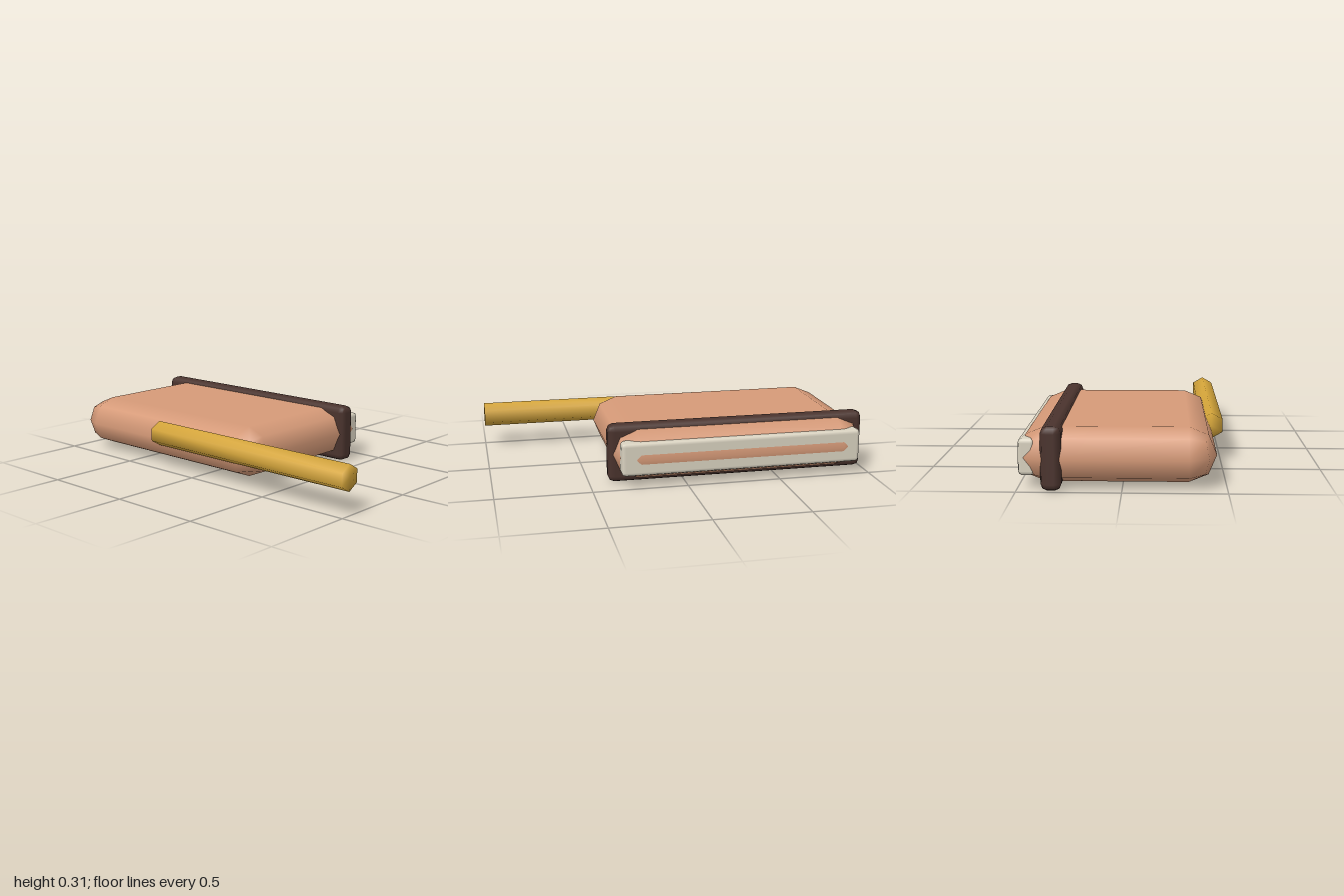
import * as THREE from 'three';
import { RoundedBoxGeometry } from 'three/addons/geometries/RoundedBoxGeometry.js';
import { mergeVertices } from 'three/addons/utils/BufferGeometryUtils.js';

function material(name, color) {
  const m = new THREE.MeshStandardMaterial({ color });
  m.name = name;
  return m;
}

export function createModel() {
  const group = new THREE.Group();
  const tan = material('tan', 0xd69a78);
  const brown = material('dark brown', 0x4a332d);
  const cream = material('cream', 0xd9d2c0);
  const gold = material('gold', 0xd6a63a);

  // Box with chamfer-like rounding, given by its min and max corners
  function roundedPart(name, mat, min, max, radius) {
    const size = max.map((v, i) => v - min[i]);
    const mesh = new THREE.Mesh(new RoundedBoxGeometry(...size, 1, radius), mat);
    mesh.position.set(...max.map((v, i) => (v + min[i]) / 2));
    mesh.name = name;
    group.add(mesh);
  }

  // Thick slab, fully rounded along its sides
  roundedPart('body', tan, [-0.451, 0.019, -0.987], [0.506, 0.289, 0.379], 0.134);
  // Strap around the slab
  roundedPart('strap', brown, [0.285, 0, -1], [0.385, 0.31, 0.4], 0.034);
  // Pale edge piece, the body's ridge showing through its face
  roundedPart('edgePlate', cream, [0.412, 0.064, -0.947], [0.496, 0.244, 0.347], 0.022);

  // Hexagonal rod with soft shading over the ends
  let rodGeometry = new THREE.CylinderGeometry(0.068, 0.068, 1.3, 6);
  rodGeometry.deleteAttribute('uv');
  rodGeometry.deleteAttribute('normal');
  rodGeometry = mergeVertices(rodGeometry);
  rodGeometry.computeVertexNormals();
  const rod = new THREE.Mesh(rodGeometry, gold);
  rod.rotation.x = Math.PI / 2;
  rod.position.set(-0.45, 0.187, 0.35);
  rod.name = 'rod';
  group.add(rod);

  return group;
}
